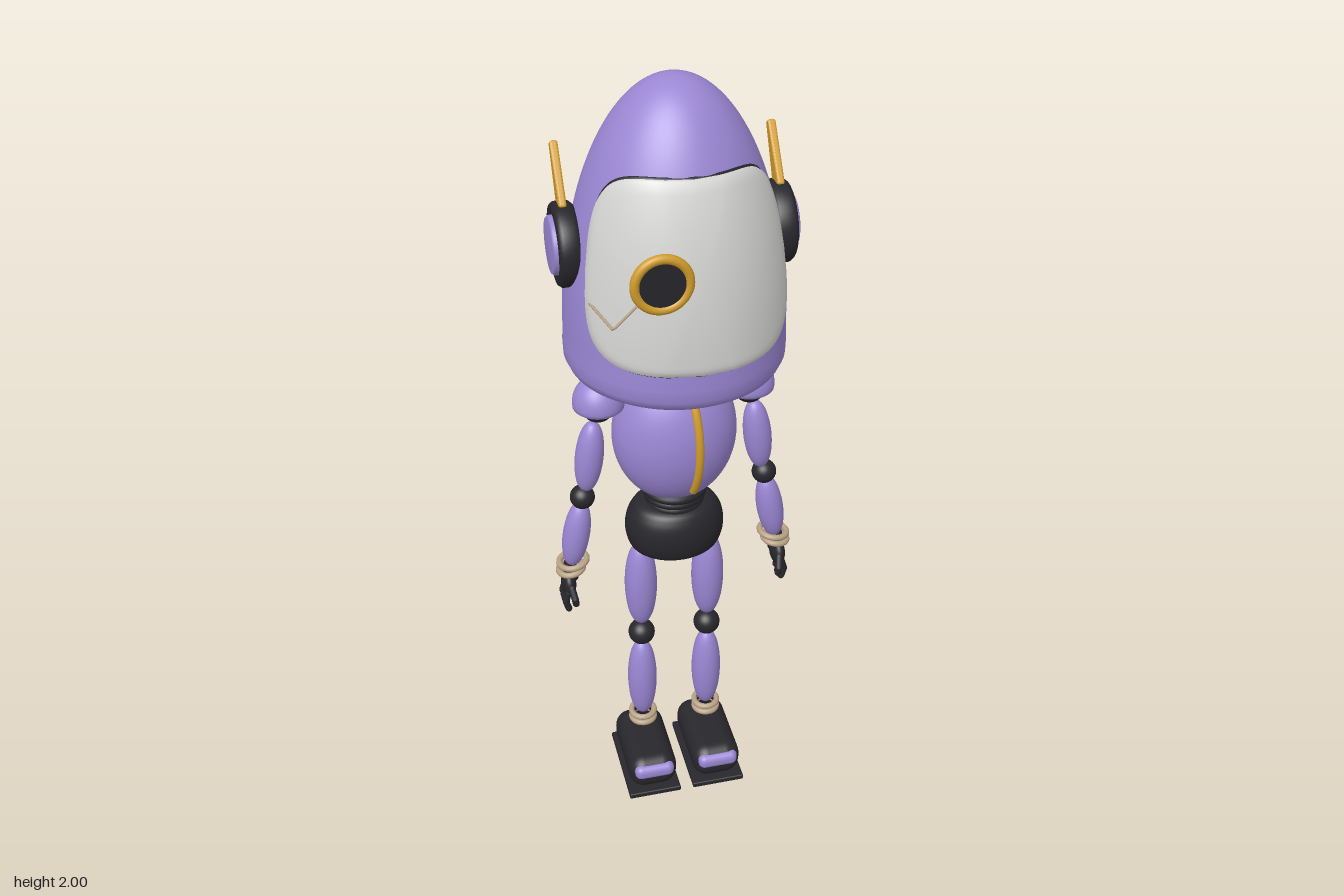
import * as THREE from 'three';
import { RoundedBoxGeometry } from 'three/addons/geometries/RoundedBoxGeometry.js';

const material = (name, color) => Object.assign(new THREE.MeshStandardMaterial({ color }), { name });
const V = (x, y, z) => new THREE.Vector3(x, y, z);

// Radius of the domed head at height y
const headRadius = (y) => 0.259 * Math.sqrt(Math.max(0, 1 - ((y - 1.4) / 0.6) ** 2));

// Rounded face plate wrapped over the head, lifted off it and turned in at the rim
function facePlate(lift, grow) {
  const rings = 20, segs = 112, pos = [], index = [];
  const rim = [[1, lift * 0.8], [1.012, lift * 0.2], [1.012, -0.012]];
  for (let i = 0; i < rings + rim.length; i++) {
    const [s, l] = i < rings ? [(i / rings) * 0.985, lift] : rim[i - rings];
    for (let j = 0; j < segs; j++) {
      const t = (j / segs) * Math.PI * 2, c = Math.cos(t), d = Math.sin(t);
      const u = Math.sign(c) * Math.abs(c) ** 0.45 * s * grow;
      const v = Math.sign(d) * Math.abs(d) ** 0.45 * s * grow;
      const y = 1.625 + v * 0.212;
      const a = u * THREE.MathUtils.degToRad(64 + 5 * v);
      const r = headRadius(y) + l;
      pos.push(r * Math.sin(a), y, r * Math.cos(a));
    }
  }
  for (let i = 0; i < rings + rim.length - 1; i++)
    for (let j = 0; j < segs; j++) {
      const k = (j + 1) % segs, a = i * segs + j, b = i * segs + k, c = a + segs, d = b + segs;
      index.push(a, c, d, a, d, b);
    }
  const g = new THREE.BufferGeometry();
  g.setAttribute('position', new THREE.Float32BufferAttribute(pos, 3));
  g.setIndex(index);
  g.computeVertexNormals();
  return g;
}

export function createModel() {
  const purple = material('lavender shell', 0x9b87d4);
  const dark = material('charcoal joints', 0x27272c);
  const gold = material('gold trim', 0xd09c2c);
  const white = material('pale visor', 0xd4d4d2);
  const tan = material('tan bands', 0xb8a286);
  const model = new THREE.Group();

  const add = (name, geo, mat, pos = [0, 0, 0], parent = model) => {
    const m = new THREE.Mesh(geo, mat);
    m.name = name;
    m.position.set(...pos);
    parent.add(m);
    return m;
  };
  const group = (name, parent = model) => {
    const g = new THREE.Group();
    g.name = name;
    parent.add(g);
    return g;
  };
  const lathe = (pts, segs = 64) => new THREE.LatheGeometry(pts.map(([r, y]) => new THREE.Vector2(r, y)), segs);
  const ball = (r) => new THREE.SphereGeometry(r, 28, 20);
  const box = (w, h, d, r) => new RoundedBoxGeometry(w, h, d, 5, r);
  // Spindle-shaped limb segment between two points
  const limb = (name, a, b, r, parent) => {
    const pts = [];
    const len = a.distanceTo(b);
    for (let i = 0; i <= 24; i++) {
      const t = (i / 24) * Math.PI;
      pts.push([r * Math.sin(t) ** 0.85, (-Math.cos(t) * len) / 2]);
    }
    const m = add(name, lathe(pts, 28), purple, a.clone().add(b).multiplyScalar(0.5).toArray(), parent);
    m.quaternion.setFromUnitVectors(V(0, 1, 0), b.clone().sub(a).normalize());
    return m;
  };
  const band = (name, r, tube, pos, parent, tilt = 0) => {
    const m = add(name, new THREE.TorusGeometry(r, tube, 12, 36), tan, pos, parent);
    m.rotation.set(Math.PI / 2, tilt, 0);
  };

  // Head: domed shell with a rounded lower rim
  const head = group('head');
  const shell = [[0, 1.303], [0.12, 1.303], [0.205, 1.304], [0.234, 1.308], [0.251, 1.32], [0.26, 1.34], [0.261, 1.37]];
  for (let i = 0; i <= 40; i++) {
    const a = (i / 40) * Math.PI / 2;
    shell.push([i === 40 ? 0 : 0.259 * Math.cos(a), 1.4 + 0.6 * Math.sin(a)]);
  }
  add('headShell', lathe(shell, 80), purple, [0, 0, 0], head);
  add('visorFrame', facePlate(0.004, 1.015), dark, [0, 0, 0], head);
  add('visor', facePlate(0.011, 1), white, [0, 0, 0], head);

  // Single eye with gold ring and its lead
  add('eyeRing', new THREE.TorusGeometry(0.06, 0.011, 16, 48), gold, [-0.085, 1.638, 0.246], head);
  const lens = add('eyeLens', new THREE.CylinderGeometry(0.054, 0.056, 0.03, 40), dark, [-0.085, 1.638, 0.237], head);
  lens.rotation.x = Math.PI / 2;
  const lead = new THREE.CurvePath();
  const leadPts = [V(-0.14, 1.592, 0.243), V(-0.19, 1.535, 0.232), V(-0.222, 1.552, 0.135)];
  for (let i = 0; i < 2; i++) lead.add(new THREE.LineCurve3(leadPts[i], leadPts[i + 1]));
  add('eyeLead', new THREE.TubeGeometry(lead, 16, 0.0032, 8), tan, [0, 0, 0], head);

  // Earphones with swept antennas
  for (const s of [1, -1]) {
    const ear = group(s > 0 ? 'leftEarphone' : 'rightEarphone', head);
    ear.position.set(s * 0.25, 1.622, -0.018);
    ear.rotation.y = s * Math.PI / 2;
    const cushion = lathe([[0, -0.03], [0.085, -0.03], [0.094, -0.022], [0.097, -0.005], [0.096, 0.012],
      [0.09, 0.02], [0.078, 0.022], [0.068, 0.018], [0, 0.018]], 48);
    add('earCushion', cushion, dark, [0, 0, 0], ear).rotation.x = Math.PI / 2;
    const cap = lathe([[0.068, 0], [0.067, 0.027], [0.062, 0.032], [0, 0.033]], 48);
    add('earCap', cap, purple, [0, 0, 0], ear).rotation.x = Math.PI / 2;
    const blade = box(0.018, 0.15, 0.046, 0.006), p = blade.attributes.position;
    for (let i = 0; i < p.count; i++) p.setZ(i, p.getZ(i) * (0.72 - p.getY(i) * 4.2));
    blade.computeVertexNormals();
    const antenna = add('antenna', blade, gold, [s * 0.248, 1.768, -0.062], head);
    antenna.rotation.x = -0.58;
  }

  // Neck and torso
  add('neck', lathe([[0.075, 1.25], [0.06, 1.265], [0.054, 1.28], [0.058, 1.295], [0.065, 1.31]], 40), dark);
  const torso = add('torso', new THREE.SphereGeometry(1, 56, 40), purple, [0, 1.1, 0]);
  torso.scale.set(0.154, 0.19, 0.125);

  // Curved gold strip up the chest
  const strip = [];
  for (let i = 0; i <= 10; i++) {
    const a = -0.72 + i * 0.15;
    strip.push(V(0.034 * Math.cos(a), 1.1 + 0.19 * Math.sin(a), 0.122 * Math.cos(a)));
  }
  add('chestStrip', new THREE.TubeGeometry(new THREE.CatmullRomCurve3(strip), 40, 0.0105, 12), gold);

  // Ribbed waist and rounded hips
  for (let i = 0; i < 3; i++) {
    const rib = add('waistRib', new THREE.TorusGeometry(0.062 + 0.004 * i, 0.013, 12, 40), dark, [0, 0.9 + i * 0.018, 0]);
    rib.rotation.x = Math.PI / 2;
  }
  add('waistCore', new THREE.CylinderGeometry(0.066, 0.066, 0.07, 32), dark, [0, 0.905, 0]);
  const hipCurve = new THREE.SplineCurve([[0, 0.752], [0.07, 0.752], [0.108, 0.762], [0.123, 0.795], [0.125, 0.835],
    [0.113, 0.873], [0.085, 0.896], [0, 0.902]].map((q) => new THREE.Vector2(...q)));
  const hipPts = hipCurve.getPoints(40).map((q) => [Math.max(0, q.x), q.y]);
  add('hips', lathe(hipPts, 56), dark).scale.z = 0.82;

  // Backpack with cooling fins
  const pack = group('backpack');
  add('packBody', box(0.2, 0.255, 0.078, 0.03), purple, [0, 1.107, -0.147], pack);
  for (let i = -2; i <= 2; i++) add('packFin', box(0.022, 0.21, 0.042, 0.005), dark, [i * 0.036 - 0.008, 1.113, -0.19], pack);
  add('packLight', ball(0.013), gold, [0.062, 1.224, -0.185], pack);

  // Arms
  for (const s of [1, -1]) {
    const arm = group(s > 0 ? 'leftArm' : 'rightArm');
    const capPts = [[0, -0.01], [0.055, -0.01], [0.062, -0.004]];
    for (let i = 0; i <= 14; i++) {
      const a = (i / 14) * Math.PI / 2;
      capPts.push([i === 14 ? 0 : 0.063 * Math.cos(a), 0.004 + 0.07 * Math.sin(a)]);
    }
    add('shoulderCap', lathe(capPts, 36), purple, [s * 0.185, 1.202, 0], arm);
    add('shoulderJoint', ball(0.041), dark, [s * 0.187, 1.197, 0], arm);
    limb('upperArm', V(s * 0.2, 1.152, 0), V(s * 0.224, 0.955, 0), 0.035, arm);
    add('elbow', ball(0.031), dark, [s * 0.233, 0.936, 0], arm);
    limb('forearm', V(s * 0.236, 0.92, 0), V(s * 0.268, 0.73, 0), 0.034, arm);
    band('wristBand', 0.035, 0.008, [s * 0.264, 0.742, 0], arm, -s * 0.14);
    band('wristBand', 0.031, 0.008, [s * 0.27, 0.718, 0], arm, -s * 0.14);

    // Hand: wrist, palm, four fingers and a forward thumb
    const hand = group(s > 0 ? 'leftHand' : 'rightHand', arm);
    add('wrist', new THREE.CylinderGeometry(0.016, 0.02, 0.05, 20), dark, [s * 0.272, 0.712, 0], hand);
    add('palm', ball(1), dark, [s * 0.278, 0.672, 0], hand).scale.set(0.019, 0.036, 0.036);
    const digit = (name, r, pts) =>
      pts.slice(1).forEach((b, i) => {
        const a = pts[i];
        const m = add(name, new THREE.CapsuleGeometry(r, a.distanceTo(b), 6, 12), dark,
          a.clone().add(b).multiplyScalar(0.5).toArray(), hand);
        m.quaternion.setFromUnitVectors(V(0, 1, 0), b.clone().sub(a).normalize());
      });
    for (let i = 0; i < 4; i++) {
      const z = 0.025 - i * 0.0167, tip = i === 0 || i === 3 ? 0.606 : 0.598;
      digit('finger', 0.0085, [V(s * 0.283, 0.658, z), V(s * 0.291, 0.63, z), V(s * 0.284, tip, z)]);
    }
    digit('thumb', 0.009, [V(s * 0.275, 0.675, 0.03), V(s * 0.27, 0.65, 0.047), V(s * 0.268, 0.635, 0.045)]);
  }

  // Legs and feet
  for (const s of [1, -1]) {
    const leg = group(s > 0 ? 'leftLeg' : 'rightLeg');
    const x = s * 0.089;
    limb('thigh', V(x, 0.765, 0), V(x, 0.502, 0), 0.042, leg);
    add('knee', ball(0.035), dark, [x, 0.467, 0], leg);
    limb('shin', V(x, 0.435, 0), V(x, 0.178, 0), 0.039, leg);
    band('ankleBand', 0.031, 0.008, [x, 0.181, 0], leg);
    band('ankleBand', 0.031, 0.008, [x, 0.16, 0], leg);
    add('ankle', lathe([[0.024, 0.19], [0.024, 0.145], [0.033, 0.135], [0.036, 0.122], [0.046, 0.105]], 32), dark, [x, 0, 0], leg);
    const foot = group(s > 0 ? 'leftFoot' : 'rightFoot', leg);
    add('shoe', box(0.132, 0.098, 0.246, 0.042), dark, [x, 0.07, 0.03], foot);
    add('toePlate', box(0.108, 0.042, 0.04, 0.018), purple, [x, 0.085, 0.137], foot);
    add('sole', box(0.143, 0.016, 0.25, 0.004), dark, [x, 0.008, 0.028], foot);
  }
  return model;
}
